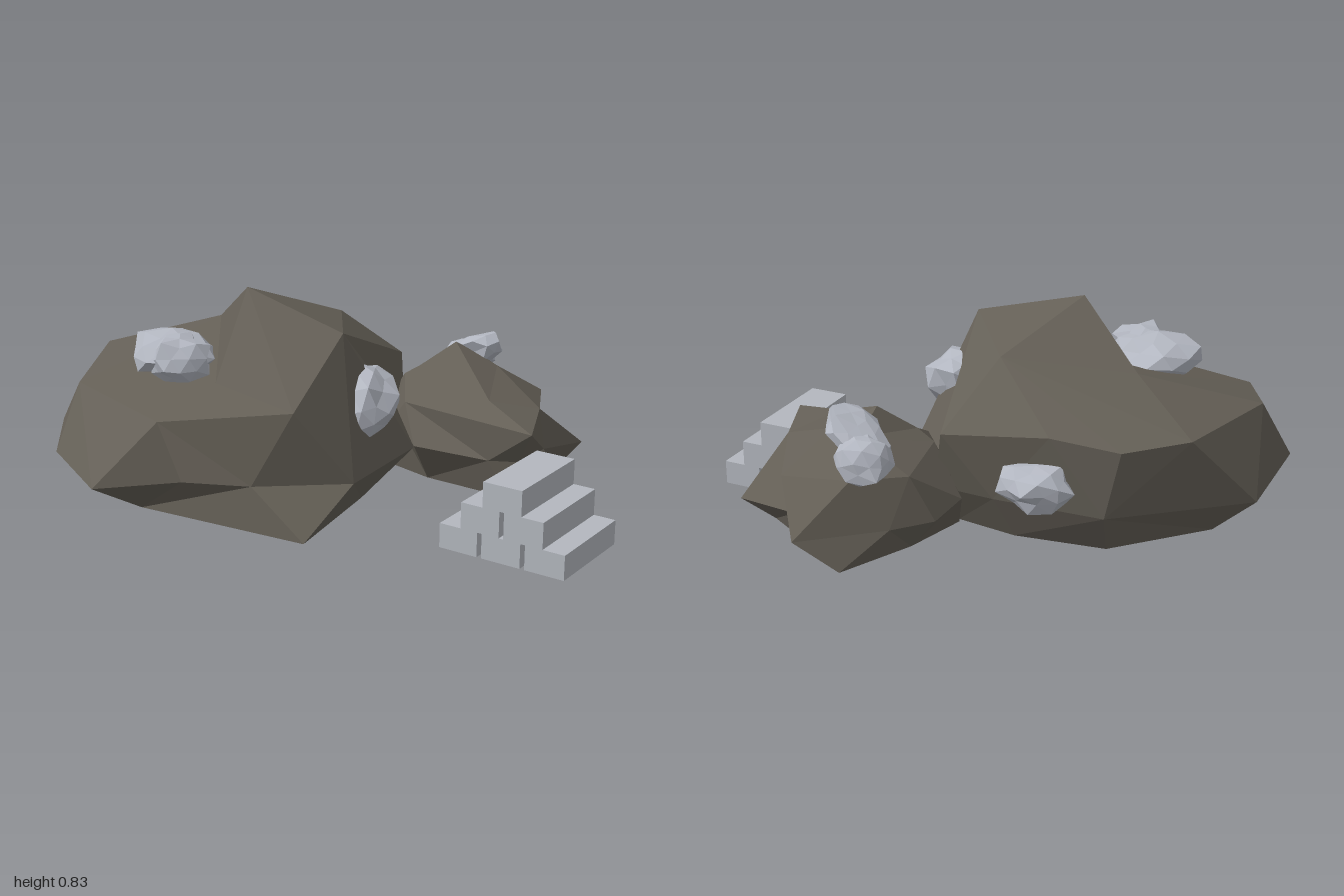
import * as THREE from 'three';

const flat = (name, color) => {
  const m = new THREE.MeshStandardMaterial({ color, flatShading: true });
  m.name = name;
  return m;
};

// Angle steps of a ring around the axis (cx, cz), unwrapped from its first point
function ringAngles(ring, cx, cz) {
  const at = (p) => Math.atan2(p[0] - cx, p[2] - cz);
  const out = [at(ring[0])];
  for (let i = 1; i <= ring.length; i++) {
    let d = at(ring[i % ring.length]) - at(ring[i - 1]);
    if (d > Math.PI) d -= 2 * Math.PI;
    if (d < -Math.PI) d += 2 * Math.PI;
    out.push(out[i - 1] + d);
  }
  return out;
}

// Faceted boulder: rings from bottom to top, of any count, stitched by angle.
// A ring of one point closes the surface.
function boulderGeometry(rings, cx, cz) {
  const pos = [];
  for (let r = 0; r + 1 < rings.length; r++) {
    const lo = rings[r], up = rings[r + 1];
    const la = ringAngles(lo, cx, cz), ua = ringAngles(up, cx, cz);
    const ln = lo.length > 1 ? lo.length : 0, un = up.length > 1 ? up.length : 0;
    let i = 0, j = 0;
    while (i < ln || j < un) {
      const a = lo[i % lo.length], b = up[j % up.length];
      if (j >= un || (i < ln && la[i + 1] <= ua[j + 1])) {
        pos.push(...a, ...lo[(i + 1) % lo.length], ...b);
        i++;
      } else {
        pos.push(...a, ...up[(j + 1) % up.length], ...b);
        j++;
      }
    }
  }
  const g = new THREE.BufferGeometry();
  g.setAttribute('position', new THREE.Float32BufferAttribute(pos, 3));
  g.computeVertexNormals();
  return g;
}

// Small chipped stone: an icosahedron pushed in and out by a seeded hash
function stoneGeometry(seed) {
  const g = new THREE.IcosahedronGeometry(1, 1);
  const p = g.attributes.position, v = new THREE.Vector3();
  for (let i = 0; i < p.count; i++) {
    v.fromBufferAttribute(p, i);
    const k = Math.round(v.x * 50) * 12.99 + Math.round(v.y * 50) * 78.23 + Math.round(v.z * 50) * 37.72;
    const h = Math.sin(k + seed * 5.17) * 437.58;
    v.multiplyScalar(0.76 + 0.36 * (h - Math.floor(h)));
    p.setXYZ(i, v.x, v.y, v.z);
  }
  g.computeVertexNormals();
  return g;
}

export function createModel() {
  const group = new THREE.Group();
  const darkRock = flat('darkRock', 0x645f56);
  const paleStone = flat('paleStone', 0xb2b6c0);
  const stepStone = flat('stepStone', 0xb3b7be);

  const add = (parent, geometry, material, name) => {
    const mesh = new THREE.Mesh(geometry, material);
    mesh.name = name;
    parent.add(mesh);
    return mesh;
  };

  // Large boulder: underside, foot, widest ring, shoulder, crown, peak
  const large = [
    [[-0.23, 0.09, -0.24]],
    [[-0.44, 0.09, 0.39], [-0.02, 0.09, 0.17], [0.3, 0.09, -0.12], [0.26, 0.09, -0.35],
      [0.12, 0.09, -0.65], [-0.25, 0.09, -0.83], [-0.6, 0.09, -0.74], [-0.71, 0.09, -0.5],
      [-0.71, 0.09, -0.23]],
    [[-0.51, 0.25, 0.18], [-0.21, 0.25, 0.37], [0.19, 0.25, 0.21], [0.4, 0.25, -0.1], [0.34, 0.25, -0.32],
      [0.2, 0.25, -0.7], [-0.26, 0.25, -1], [-0.68, 0.25, -0.86], [-0.88, 0.25, -0.54],
      [-0.96, 0.25, -0.13], [-0.68, 0.25, 0]],
    [[-0.4, 0.52, 0.28], [-0.09, 0.72, 0.15], [0.44, 0.48, -0.17], [0.29, 0.525, -0.53], [0.18, 0.5, -0.75],
      [-0.02, 0.52, -0.89], [-0.46, 0.52, -0.87], [-0.72, 0.46, -0.64], [-0.71, 0.45, -0.1]],
    [[-0.4, 0.52, 0.28], [-0.09, 0.72, 0.15], [0.16, 0.69, -0.19], [-0.14, 0.64, -0.56], [-0.44, 0.53, -0.14]],
    [[-0.23, 0.83, -0.24]],
  ];
  add(group, boulderGeometry(large, -0.23, -0.24), darkRock, 'largeBoulder');

  // Small boulder: underside, foot, widest ring, shoulder, crown, peak
  const small = [
    [[0.53, 0.08, 0.1]],
    [[0.42, 0.08, 0.47], [0.64, 0.08, 0.53], [0.73, 0.08, 0.38], [0.78, 0.08, 0.15], [0.85, 0.08, -0.09],
      [0.55, 0.08, -0.13], [0.3, 0.08, -0.12], [0.32, 0.08, 0.14]],
    [[0.45, 0.22, 0.5], [0.62, 0.22, 0.45], [0.85, 0.19, 0.42], [0.8, 0.19, 0.19], [0.95, 0.19, 0.03],
      [0.68, 0.2, -0.16], [0.54, 0.21, -0.24], [0.41, 0.25, -0.24], [0.27, 0.3, 0],
      [0.2, 0.25, 0.2], [0.37, 0.22, 0.42]],
    [[0.41, 0.36, 0.6], [0.62, 0.37, 0.42], [0.84, 0.345, 0.2], [0.76, 0.38, -0.06], [0.6, 0.38, -0.18],
      [0.4, 0.42, -0.1], [0.27, 0.37, 0.06]],
    [[0.43, 0.42, 0.35], [0.64, 0.47, 0.16], [0.66, 0.49, 0], [0.42, 0.46, -0.04]],
    [[0.535, 0.555, 0.04]],
  ];
  add(group, boulderGeometry(small, 0.53, 0.1), darkRock, 'smallBoulder');

  // Pale stones: position, half sizes, rotation
  const stones = [
    [[-0.45, 0.585, -0.41], [0.16, 0.09, 0.17], [0, 0.4, 0]],
    [[-0.48, 0.585, -0.31], [0.12, 0.1, 0.12], [0, 1, 0.2]],
    [[0.0, 0.465, 0.17], [0.11, 0.13, 0.18], [0.35, -0.45, 0]],
    [[0.31, 0.345, -0.49], [0.1, 0.09, 0.15], [0, 0.25, 0]],
    [[0.65, 0.49, 0.02], [0.09, 0.075, 0.14], [-0.5, 0.1, -0.35]],
    [[0.7, 0.445, -0.07], [0.1, 0.065, 0.12], [-0.4, 0.2, -0.6]],
  ];
  stones.forEach(([at, size, turn], i) => {
    const s = add(group, stoneGeometry(i + 1), paleStone, 'paleStone' + (i + 1));
    s.position.set(...at);
    s.scale.set(...size);
    s.rotation.set(...turn);
  });

  // Stepped block stack: three, two and one blocks with narrow gaps between
  const steps = new THREE.Group();
  steps.name = 'blockSteps';
  const pitch = 0.17, gap = 0.018;
  [[3, 0, 0.092], [2, 0.092, 0.19], [1, 0.19, 0.285]].forEach(([count, y0, y1], tier) => {
    for (let k = 0; k < count; k++) {
      const block = add(steps, new THREE.BoxGeometry(0.38, y1 - y0, pitch - gap), stepStone, `block${tier + 1}_${k + 1}`);
      block.position.set(0, (y0 + y1) / 2, (k - (count - 1) / 2) * pitch);
    }
  });
  steps.position.set(0.305, 0, 0.705);
  steps.rotation.y = 0.31;
  group.add(steps);

  return group;
}
